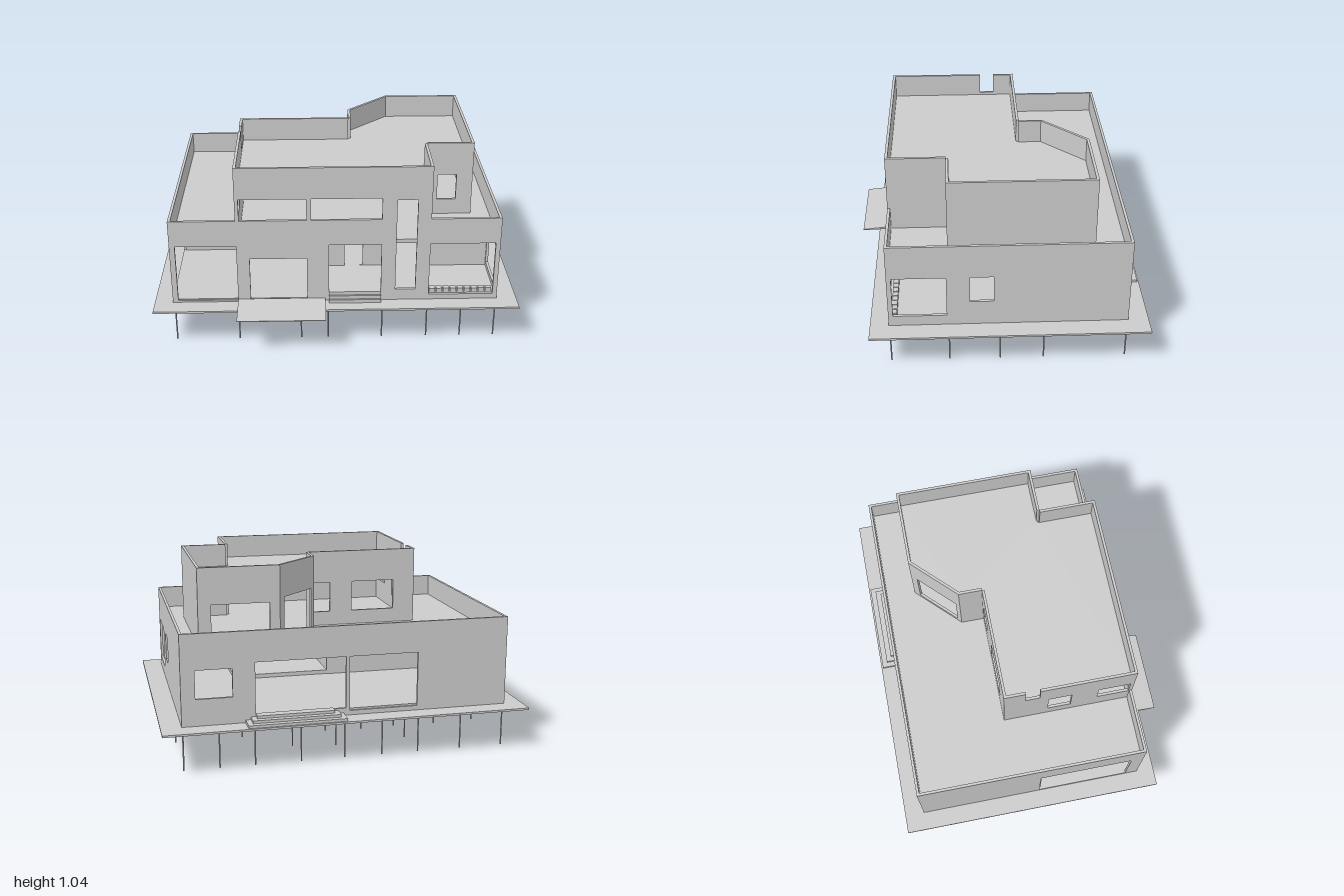
import * as THREE from 'three';

const T = 0.015; // wall thickness

export function createModel() {
  const house = new THREE.Group();
  house.name = 'house';
  const mat = new THREE.MeshStandardMaterial({ color: 0xcccccc, side: THREE.DoubleSide, flatShading: true });

  const add = (name, geo) => {
    const mesh = new THREE.Mesh(geo, mat);
    mesh.name = name;
    house.add(mesh);
    return mesh;
  };

  // Box given by its limits
  const box = (name, x0, x1, y0, y1, z0, z1) =>
    add(name, new THREE.BoxGeometry(x1 - x0, y1 - y0, z1 - z0))
      .position.set((x0 + x1) / 2, (y0 + y1) / 2, (z0 + z1) / 2);

  // Horizontal plate with a plan outline of [x, z] points
  const plate = (name, pts, y0, y1) => {
    const shape = new THREE.Shape(pts.map(([x, z]) => new THREE.Vector2(x, -z)));
    const geo = new THREE.ExtrudeGeometry(shape, { depth: y1 - y0, bevelEnabled: false });
    add(name, geo.rotateX(-Math.PI / 2).translate(0, y0, 0));
  };

  // Upright wall from a to b (plan points, outside on the right-hand side).
  // Outline [w, y] and openings [w0, w1, y0, y1] use the world coordinate along the wall.
  const wall = (name, a, b, outline, openings = []) => {
    const dx = b[0] - a[0], dz = b[1] - a[1], len = Math.hypot(dx, dz);
    const k = Math.abs(dx) >= Math.abs(dz) - 1e-6 ? 0 : 1;
    const u = (w) => ((w - a[k]) / (b[k] - a[k])) * len;
    const path = (pts) => pts.map(([w, y]) => new THREE.Vector2(u(w), y));
    const shape = new THREE.Shape(path(outline));
    for (const [w0, w1, y0, y1] of openings)
      shape.holes.push(new THREE.Path(path([[w0, y0], [w0, y1], [w1, y1], [w1, y0]])));
    const geo = new THREE.ExtrudeGeometry(shape, { depth: T, bevelEnabled: false }).translate(0, 0, -T);
    const mesh = add(name, geo);
    mesh.position.set(a[0], 0, a[1]);
    mesh.rotation.y = Math.atan2(-dz, dx);
  };
  const rect = (w0, w1, y0, y1) => [[w0, y0], [w1, y0], [w1, y1], [w0, y1]];

  // Ground apron, entrance ramp and thicker footings
  box('groundSlab', -1, 1, 0.229, 0.24, -0.8, 0.69);
  const ramp = new THREE.Shape([[0.59, 0.232], [0.79, 0.232], [0.79, 0.236], [0.59, 0.256]]
    .map(([z, y]) => new THREE.Vector2(-z, y)));
  add('drivewayRamp', new THREE.ExtrudeGeometry(ramp, { depth: 0.48, bevelEnabled: false })
    .rotateY(Math.PI / 2).translate(-0.54, 0, 0));
  box('garageFooting', -0.89, -0.05, 0.216, 0.23, 0, 0.59);
  box('rearFooting', -0.89, -0.39, 0.22, 0.23, -0.69, 0);

  // Ground floors
  box('garageFloor', -0.89, -0.05, 0.24, 0.255, 0, 0.58);
  box('livingFloor', -0.89, 0.88, 0.24, 0.275, -0.68, 0);
  box('hallFloor', -0.05, 0.51, 0.24, 0.298, 0, 0.58);
  box('patioFloor', 0.51, 0.88, 0.24, 0.275, 0, 0.575);
  for (let i = 0; i < 9; i++) {
    const x = 0.515 + i * 0.039;
    box('patioEdgeBlock', x, x + 0.033, 0.275, 0.298, 0.545, 0.575);
  }

  // Front wall runs through both storeys
  wall('frontWall', [-0.9, 0.59], [0.89, 0.59],
    [[-0.9, 0.24], [0.89, 0.24], [0.89, 0.735], [0.51, 0.735], [0.51, 1.04], [-0.54, 1.04], [-0.54, 0.735], [-0.9, 0.735]],
    [[-0.87, -0.54, 0.25, 0.585], [-0.47, -0.16, 0.25, 0.505], [-0.04, 0.245, 0.3, 0.585],
      [0.325, 0.435, 0.305, 0.85], [0.51, 0.865, 0.27, 0.585],
      [-0.52, -0.16, 0.735, 0.86], [-0.135, 0.245, 0.735, 0.86]]);

  // Other lower walls
  wall('lowerSideWallLeft', [0.89, 0.59], [0.89, -0.69], rect(0.59, -0.69, 0.24, 0.735),
    [[0.565, 0.28, 0.3, 0.54], [0.155, 0.03, 0.385, 0.54]]);
  wall('lowerBackWall', [0.89, -0.69], [-0.9, -0.69], rect(0.89, -0.9, 0.24, 0.735),
    [[0.815, 0.62, 0.385, 0.54], [0.5, 0.01, 0.28, 0.565], [-0.01, -0.39, 0.265, 0.565]]);
  wall('lowerSideWallRight', [-0.9, -0.69], [-0.9, 0.59], rect(-0.69, 0.59, 0.24, 0.735),
    [[0, 0.52, 0.255, 0.57]]);

  // Terrace slab over the ground storey
  box('terraceSlab', -0.89, 0.88, 0.587, 0.61, -0.68, 0.58);

  // Upper storey
  wall('upperPatioSideWall', [0.51, 0.59], [0.51, 0.27], rect(0.59, 0.27, 0.605, 1.04));
  wall('upperFrontRecessWall', [0.51, 0.27], [0.77, 0.27], rect(0.51, 0.77, 0.605, 1.04),
    [[0.575, 0.68, 0.7, 0.85]]);
  wall('upperSideWallLeft', [0.77, 0.27], [0.77, -0.51], rect(0.27, -0.51, 0.605, 1.04));
  wall('upperBackWall', [0.77, -0.51], [0.33, -0.51], rect(0.77, 0.33, 0.605, 1.04),
    [[0.7, 0.385, 0.69, 0.84]]);
  wall('upperDiagonalWall', [0.33, -0.51], [0.09, -0.27], rect(0.33, 0.09, 0.605, 1.04),
    [[0.3, 0.11, 0.63, 0.86]]);
  wall('upperReturnWall', [0.09, -0.27], [0.09, -0.14], rect(-0.27, -0.14, 0.605, 1.04));
  wall('upperTerraceWall', [0.09, -0.14], [-0.54, -0.14], rect(0.09, -0.54, 0.605, 1.04),
    [[0.068, -0.035, 0.69, 0.86], [-0.165, -0.415, 0.69, 0.86]]);
  wall('upperSideWallRight', [-0.54, -0.14], [-0.54, 0.59],
    [[-0.14, 0.605], [0.59, 0.605], [0.59, 1.04], [0.06, 1.04], [0.06, 0.925], [-0.02, 0.925], [-0.02, 1.04], [-0.14, 1.04]],
    [[0.11, 0.24, 0.69, 0.86], [0.39, 0.57, 0.735, 0.86]]);

  // Flat roof behind the parapet
  plate('roof', [[-0.53, 0.58], [0.5, 0.58], [0.5, 0.26], [0.76, 0.26], [0.76, -0.5],
    [0.335, -0.5], [0.1, -0.265], [0.1, -0.13], [-0.53, -0.13]], 0.885, 0.91);

  // Inner partitions
  wall('garageBackWall', [-0.885, 0.01], [-0.05, 0.01], rect(-0.885, -0.05, 0.24, 0.59));
  wall('garageSideWall', [-0.05, 0.58], [-0.05, 0], rect(0.58, 0, 0.24, 0.59));
  wall('hallWall', [-0.05, 0.3], [0.32, 0.3], rect(-0.05, 0.32, 0.29, 0.59), [[0.055, 0.16, 0.3, 0.52]]);
  wall('patioSideWall', [0.51, 0.58], [0.51, 0.27], rect(0.58, 0.27, 0.24, 0.59));
  wall('patioBackWall', [0.51, 0.27], [0.88, 0.27], rect(0.51, 0.88, 0.24, 0.59));

  // Entrance steps, front and back
  for (let i = 0; i < 3; i++) {
    box('frontStep', -0.04, 0.245, 0.24 + i * 0.02, 0.26 + i * 0.02, 0.58, 0.622 - i * 0.01);
    box('backStep', 0.025 + i * 0.028, 0.555 - i * 0.028, 0.238 + i * 0.015, 0.255 + i * 0.015, -0.79 + i * 0.03, -0.68);
  }

  // Foundation piles: each row is x followed by its z positions
  const piles = [
    [0.885, 0.585, 0.27, -0.005, -0.24, -0.685],
    [0.695, 0.585, -0.685],
    [0.505, 0.585, 0.27, -0.005, -0.24, -0.685],
    [0.255, 0.585, 0.27, -0.005, -0.45, -0.685],
    [0.015, -0.24, -0.49, -0.685],
    [-0.045, 0.585, 0.27, -0.005],
    [-0.195, 0.585, -0.255, -0.685],
    [-0.4, -0.005, -0.24, -0.45, -0.685],
    [-0.54, 0.585, 0.27, -0.005],
    [-0.645, -0.255, -0.685],
    [-0.89, 0.585, -0.005, -0.24, -0.685],
  ];
  const pileGeo = new THREE.CylinderGeometry(0.004, 0.004, 0.232, 8);
  for (const [x, ...zs] of piles)
    for (const z of zs) add('foundationPile', pileGeo).position.set(x, 0.116, z);

  return house;
}
